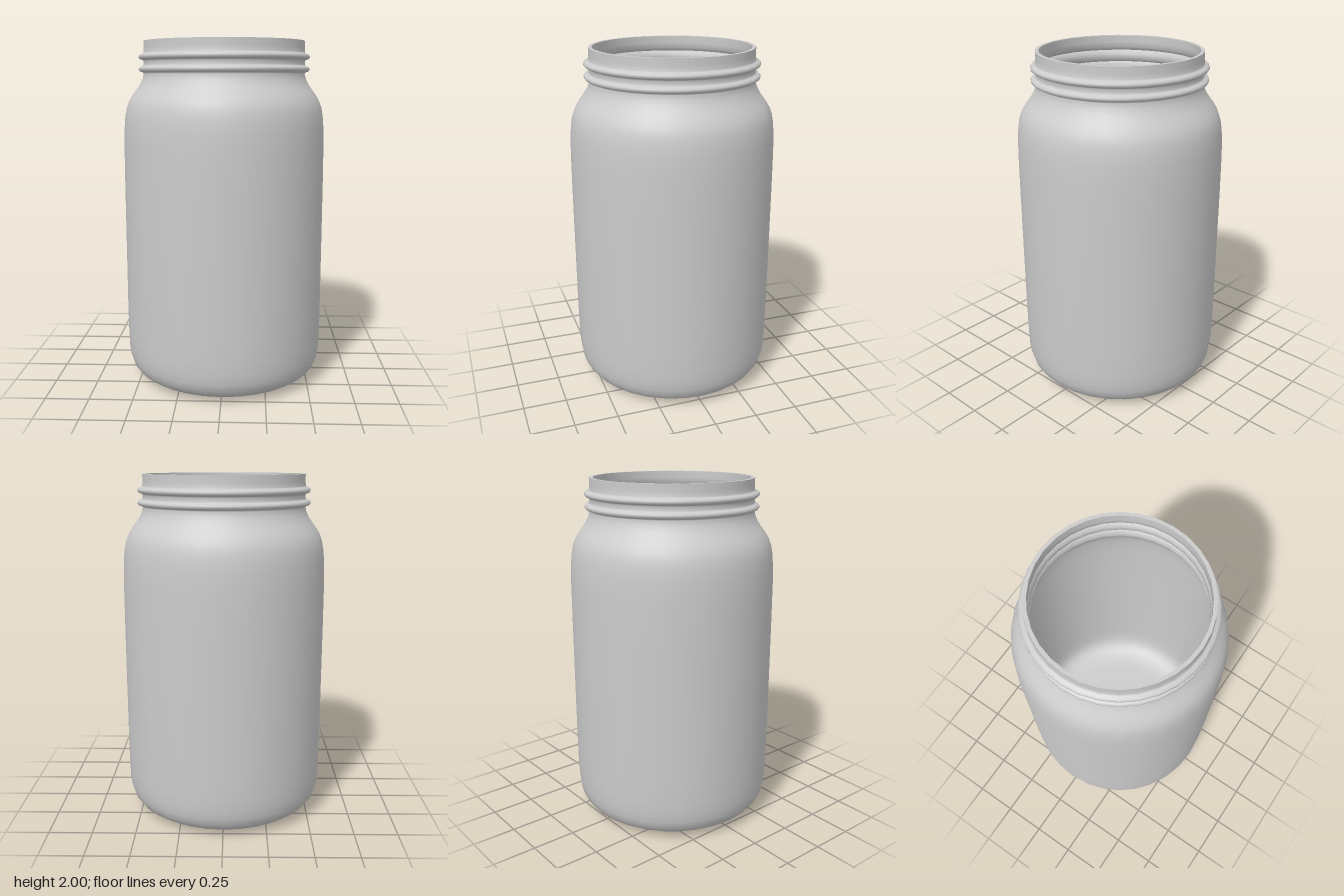
import * as THREE from 'three';

const SIDES = 32;
const WALL = 0.02;

// Outer profile, from the middle of the base up to the lip: [radius, height]
const body = [
  [0, 0], [0.2, 0], [0.36, 0.001], [0.41, 0.004], [0.46, 0.012], [0.505, 0.028], [0.54, 0.052], [0.564, 0.085],
  [0.577, 0.125], [0.585, 0.18], [0.588, 0.26], [0.59, 0.42], [0.59, 0.8], [0.59, 1.18], [0.589, 1.4],
  [0.586, 1.5], [0.58, 1.57], [0.571, 1.62], [0.556, 1.66], [0.535, 1.695], [0.512, 1.725], [0.49, 1.757],
  [0.476, 1.787],
];
// Two rounded ridges around the neck
const ridge = (y) => [[0.469, y - 0.025], [0.474, y - 0.018], [0.49, y - 0.013], [0.497, y - 0.005],
  [0.497, y + 0.005], [0.49, y + 0.013], [0.474, y + 0.018], [0.469, y + 0.025]];
const outer = [...body, ...ridge(1.84), ...ridge(1.91), [0.467, 1.96], [0.467, 2]]
  .map(([r, y]) => new THREE.Vector2(r, y));

// Inner profile: the outer one moved inwards by the wall thickness
const inner = outer.map((p, i) => {
  const a = outer[Math.max(i - 1, 0)], b = outer[Math.min(i + 1, outer.length - 1)];
  const d = b.clone().sub(a).normalize();
  return new THREE.Vector2(Math.max(p.x - d.y * WALL, 0), p.y + d.x * WALL);
});
inner[0].x = 0;
inner[inner.length - 1].y = 2;
inner.reverse();

export function createModel() {
  const jar = new THREE.Group();
  jar.name = 'jar';
  const material = new THREE.MeshStandardMaterial({ color: 0xcccccc, side: THREE.DoubleSide });
  const turn = (name, points) => {
    const mesh = new THREE.Mesh(new THREE.LatheGeometry(points, SIDES), material);
    mesh.name = name;
    jar.add(mesh);
  };
  turn('outerWall', outer);
  turn('lip', [outer[outer.length - 1], inner[0]]); // separate for sharp edges
  turn('innerWall', inner);
  return jar;
}
